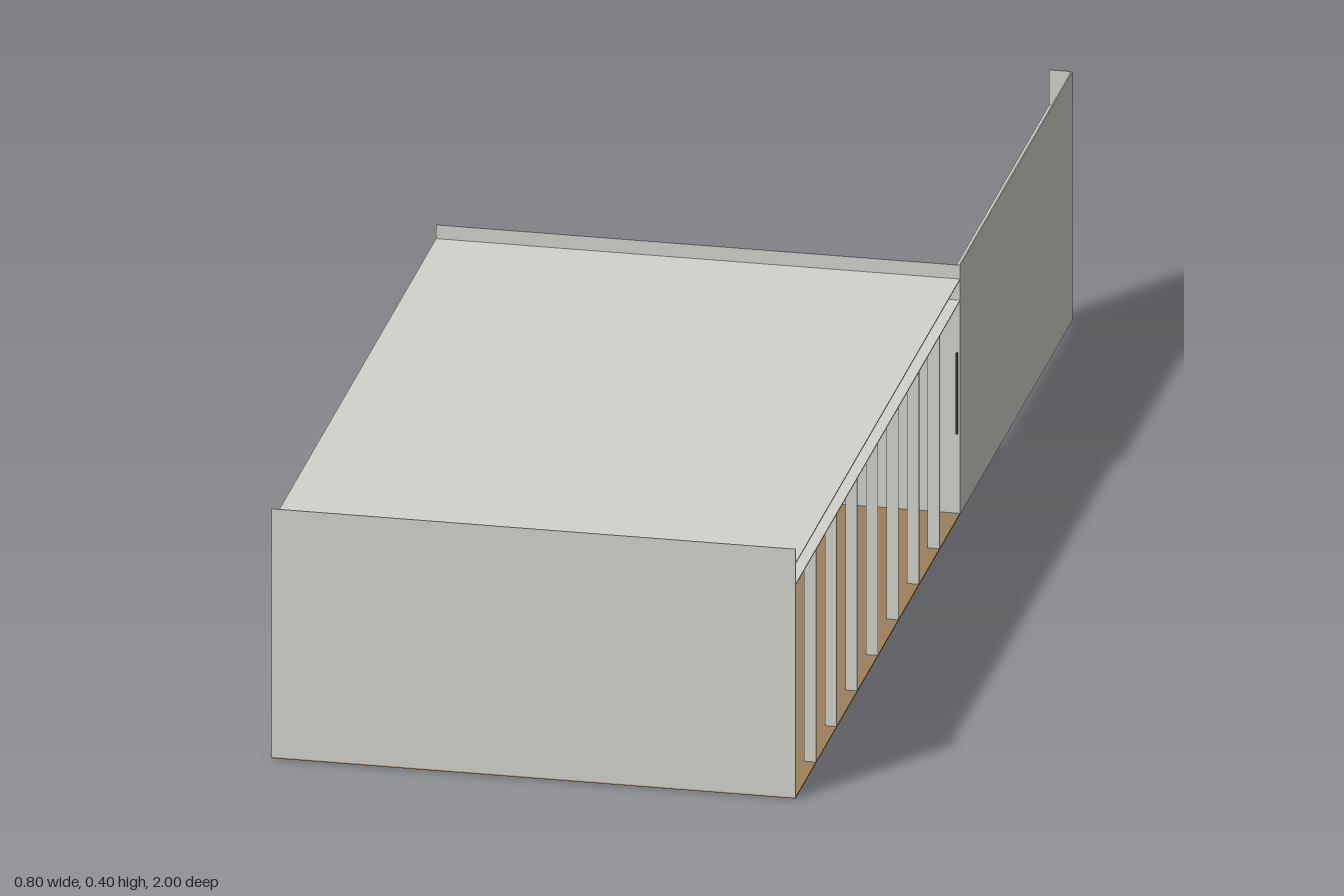
import * as THREE from 'three';

const mat = (name, color) => {
  const m = new THREE.MeshStandardMaterial({ color });
  m.name = name;
  return m;
};

export function createModel() {
  const model = new THREE.Group();
  model.name = 'pavilion';
  const plaster = mat('plaster grey', 0xd3d3cd);
  const oak = mat('oak brown', 0x9c7f5b);
  const charcoal = mat('charcoal', 0x3a3835);
  const taupe = mat('taupe', 0x746a60);
  const stone = mat('stone grey', 0xa9a9a4);
  const leafGreen = mat('dark leaf', 0x33352c);
  const T = 0.002;

  const add = (parent, name, geo, m) => {
    const mesh = new THREE.Mesh(geo, m);
    mesh.name = name;
    parent.add(mesh);
    return mesh;
  };
  // Box given by its two corners
  const box = (parent, name, m, x0, x1, y0, y1, z0, z1) => {
    const mesh = add(parent, name, new THREE.BoxGeometry(x1 - x0, y1 - y0, z1 - z0), m);
    mesh.position.set((x0 + x1) / 2, (y0 + y1) / 2, (z0 + z1) / 2);
    return mesh;
  };
  // Straight rod between two points
  const rod = (parent, name, m, a, b, r) => {
    const path = new THREE.LineCurve3(new THREE.Vector3(...a), new THREE.Vector3(...b));
    return add(parent, name, new THREE.TubeGeometry(path, 1, r, 8), m);
  };

  // Shell: floor, roof and walls
  box(model, 'floor', oak, -0.4, 0.4, 0, T, -0.19, 1);
  box(model, 'roof', plaster, -0.4, 0.4, 0.376, 0.376 + T, -0.19, 1);
  box(model, 'frontWall', plaster, -0.4, 0.4, 0, 0.4, 1 - T, 1);
  box(model, 'backWall', plaster, -0.4, 0.4, 0, 0.4, -0.19, -0.19 + T);
  box(model, 'gardenWall', plaster, 0.4 - T, 0.4, 0, 0.4, -1, -0.19);
  box(model, 'gardenWallEnd', plaster, 0.365, 0.4, 0, 0.4, -1, -1 + T);

  // Ledges just below the roof line
  box(model, 'backLedge', plaster, -0.4, 0.4, 0.376, 0.376 + T, -0.222, -0.19);
  box(model, 'gardenLedge', plaster, 0.365, 0.4, 0.342, 0.342 + T, -1, -0.19);
  box(model, 'openSideLedge', plaster, 0.365, 0.4, 0.342, 0.342 + T, -0.19, 1);

  // Open side: thin upright fins
  for (let i = 1; i < 8; i++) {
    const z = 1 - i * 0.14875;
    box(model, 'fin', plaster, 0.382, 0.4, T, 0.342, z - 0.0012, z + 0.0012);
  }

  // Closed side: four panels, each with a hanging valance
  const drops = [0.3, 0.317, 0.32, 0.324];
  drops.forEach((y, i) => {
    const z = -0.09 + i * 0.25;
    box(model, 'sidePanel', plaster, -0.384, -0.38, 0.014, 0.35, z + 0.0015, z + 0.2485);
    box(model, 'valance', plaster, -0.38, -0.374, y, 0.348, z + 0.006, z + 0.244);
    box(model, 'panelFrame', plaster, -0.39, -0.384, 0.014, 0.35, z + 0.244, z + 0.25);
  });
  box(model, 'panelTopRail', plaster, -0.39, -0.384, 0.346, 0.35, -0.09, 0.91);

  // Table
  const table = new THREE.Group();
  table.name = 'table';
  table.position.set(0.11, 0, 0.425);
  model.add(table);
  box(table, 'tableTop', oak, -0.075, 0.075, 0.091, 0.096, -0.075, 0.075);
  for (const x of [-0.06, 0.06]) for (const z of [-0.055, 0.055])
    rod(table, 'tableLeg', stone, [x, 0, z], [x, 0.092, z], 0.003);
  for (const z of [-0.045, 0.045]) {
    const cup = add(table, 'cup', new THREE.CylinderGeometry(0.006, 0.005, 0.014, 12), stone);
    cup.position.set(0, 0.103, z);
  }

  // Four chairs, backs toward the table
  for (const [x, z, turn] of [[0.12, 0.585, 0], [0.12, 0.26, Math.PI],
    [0.23, 0.42, Math.PI / 2], [-0.01, 0.42, -Math.PI / 2]]) {
    const chair = new THREE.Group();
    chair.name = 'chair';
    chair.position.set(x, 0, z);
    chair.rotation.y = turn;
    model.add(chair);
    box(chair, 'seat', charcoal, -0.032, 0.032, 0.05, 0.057, -0.028, 0.032);
    const back = box(chair, 'backrest', taupe, -0.034, 0.034, 0.062, 0.105, -0.031, -0.026);
    back.rotation.x = -0.12;
    for (const sx of [-1, 1]) {
      rod(chair, 'backPost', charcoal, [sx * 0.028, 0.05, -0.026], [sx * 0.028, 0.1, -0.027], 0.003);
      for (const sz of [-1, 1])
        rod(chair, 'chairLeg', charcoal, [sx * 0.024, 0.052, sz * 0.018], [sx * 0.034, 0, sz * 0.033], 0.003);
    }
  }

  // Pendant lamps over the table and ceiling spots
  for (const z of [0.38, 0.465]) {
    rod(model, 'pendantCord', charcoal, [0.11, 0.29, z], [0.11, 0.376, z], 0.001);
    const shade = add(model, 'pendantShade', new THREE.CylinderGeometry(0.003, 0.005, 0.02, 12), charcoal);
    shade.position.set(0.11, 0.285, z);
  }
  for (const z of [0.05, 0.16, 0.67, 0.79]) {
    const spot = add(model, 'ceilingSpot', new THREE.CylinderGeometry(0.006, 0.006, 0.005, 12), charcoal);
    spot.position.set(0, 0.373, z);
  }
  rod(model, 'slimPole', charcoal, [0, 0, 0.54], [0, 0.16, 0.54], 0.001);

  // Sideboard against the back wall
  box(model, 'sideboard', plaster, -0.19, 0.165, 0.035, 0.108, -0.187, -0.118);
  for (const x of [-0.18, 0.155]) for (const z of [-0.18, -0.125])
    rod(model, 'sideboardLeg', charcoal, [x, 0, z], [x, 0.036, z], 0.003);
  for (const x of [0.05, 0.08]) {
    const vase = add(model, 'vase', new THREE.CylinderGeometry(0.007, 0.01, 0.026, 12), stone);
    vase.position.set(x, 0.121, -0.15);
  }
  // Edge trim and hanging showing at the rear of the back wall
  box(model, 'trimTop', charcoal, -0.19, 0.165, 0.107, 0.109, -0.191, -0.188);
  box(model, 'trimSide', charcoal, 0.163, 0.165, 0.037, 0.109, -0.191, -0.188);
  box(model, 'wallHanging', charcoal, 0.394, 0.397, 0.13, 0.26, -0.194, -0.184);

  // Potted plant
  const plant = new THREE.Group();
  plant.name = 'pottedPlant';
  plant.position.set(-0.335, 0, -0.09);
  model.add(plant);
  const profile = [[0, 0.002], [0.026, 0.002], [0.026, 0.008], [0.016, 0.018], [0.027, 0.04], [0.031, 0.07],
    [0.034, 0.08], [0.028, 0.08], [0, 0.072]].map(p => new THREE.Vector2(...p));
  add(plant, 'pot', new THREE.LatheGeometry(profile, 20), stone);
  const leafGeo = new THREE.SphereGeometry(1, 8, 6).scale(0.016, 0.003, 0.009);
  for (let i = 0; i < 26; i++) {
    const a = i * 2.4, r = 0.008 + 0.02 * ((i * 7) % 5) / 4, y = 0.1 + i * 0.0042;
    const leaf = add(plant, 'leaf', leafGeo, leafGreen);
    leaf.position.set(Math.cos(a) * r, y, Math.sin(a) * r);
    leaf.rotation.set(0, -a, 0.7 * Math.sin(i * 1.7));
  }
  for (let i = 0; i < 4; i++) {
    const a = i * 1.7;
    rod(plant, 'stem', leafGreen, [0, 0.07, 0], [Math.cos(a) * 0.018, 0.16 + i * 0.014, Math.sin(a) * 0.018], 0.002);
  }

  return model;
}
